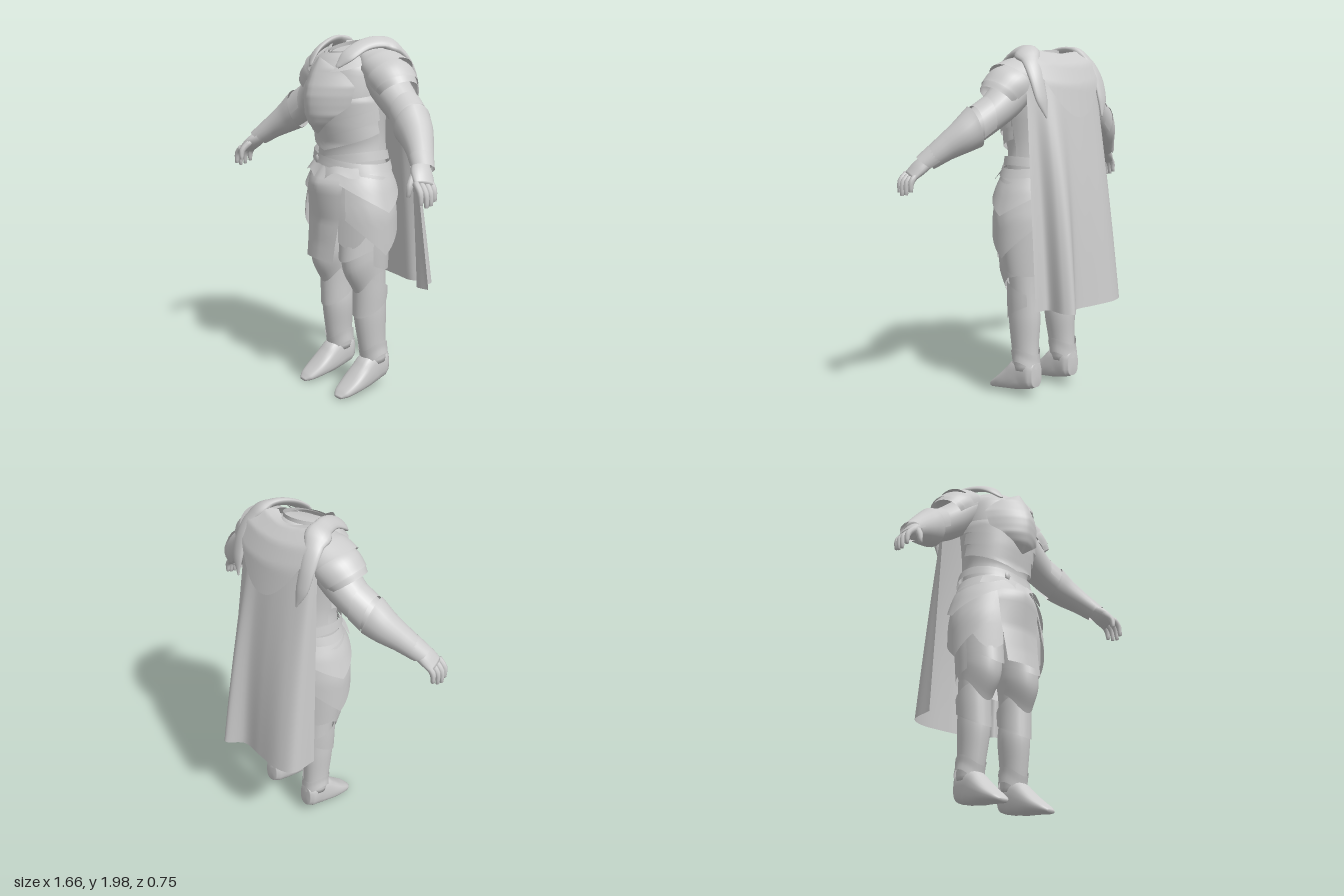
import * as THREE from 'three';
import { mergeVertices } from 'three/addons/utils/BufferGeometryUtils.js';

const steel = new THREE.MeshStandardMaterial({ color: 0xcccccc, side: THREE.DoubleSide });
steel.name = 'plain steel';
const V = (x, y, z) => new THREE.Vector3(x, y, z);

// Smooth surface from a rule fn(u, v), u and v in 0..1
function grid(nu, nv, fn) {
  const pos = [], idx = [];
  for (let j = 0; j <= nv; j++) for (let i = 0; i <= nu; i++) pos.push(...fn(i / nu, j / nv));
  for (let j = 0; j < nv; j++) for (let i = 0; i < nu; i++) {
    const a = j * (nu + 1) + i, b = a + nu + 1;
    idx.push(a, a + 1, b + 1, a, b + 1, b);
  }
  let g = new THREE.BufferGeometry();
  g.setAttribute('position', new THREE.Float32BufferAttribute(pos, 3));
  g.setIndex(idx);
  g = mergeVertices(g, 1e-5);
  g.computeVertexNormals();
  return g;
}

// Linear lookup in rows [key, a, b, ...] with rising keys
function look(rows, k) {
  let i = 0;
  while (i < rows.length - 2 && k > rows[i + 1][0]) i++;
  const t = THREE.MathUtils.clamp((k - rows[i][0]) / (rows[i + 1][0] - rows[i][0]), 0, 1);
  return rows[i].slice(1).map((a, n) => a + (rows[i + 1][n + 1] - a) * t);
}

// Limb through stations [x, y, z, radiusA, radiusB]; an arc leaves it an open shell,
// a power under 1 squares off the cross-section
function limb(stations, { ref = V(0, 0, 1), arc = null, cap = !arc, nu = 20, nv = 5 * stations.length, edge = () => 0, power = 1 } = {}) {
  const path = new THREE.CatmullRomCurve3(stations.map(s => V(s[0], s[1], s[2])));
  const size = new THREE.CatmullRomCurve3(stations.map(s => V(s[3], s[4], 0)));
  const [a0, a1] = arc || [0, Math.PI * 2];
  const bend = c => Math.sign(c) * Math.abs(c) ** power;
  return grid(nu, nv, (u, v) => {
    const a = a0 + (a1 - a0) * (arc || u < 1 ? u : 0);
    const k = cap ? THREE.MathUtils.clamp((v * nv - 1) / (nv - 2), 0, 1) : v;
    const end = cap && (v === 0 || v === 1);
    const p = path.getPoint(k), r = end ? V(0, 0, 0) : size.getPoint(k);
    const t = path.getTangent(k), n = ref.clone().cross(t).normalize(), b = t.clone().cross(n);
    p.addScaledVector(n, r.x * bend(Math.cos(a))).addScaledVector(b, r.y * bend(Math.sin(a)));
    p.addScaledVector(t, edge(a, k));
    return p.toArray();
  });
}

// Body cross-sections: height, half width, centre z, half depth
const BODY = [[0.7, 0.25, 0.07, 0.16], [0.85, 0.265, 0.08, 0.175], [1.05, 0.275, 0.08, 0.18], [1.2, 0.25, 0.075, 0.18],
  [1.33, 0.21, 0.07, 0.17], [1.42, 0.2, 0.075, 0.165], [1.52, 0.21, 0.09, 0.18], [1.65, 0.23, 0.1, 0.2],
  [1.8, 0.225, 0.08, 0.19], [1.88, 0.17, 0.07, 0.15], [1.92, 0.1, 0.08, 0.1]];

// Plate wrapped on the body; angle 0 is the front, +x is positive
function wrap(a0, a1, top, bottom, off0, off1, nu = 24, nv = 8) {
  return grid(nu, nv, (u, v) => {
    const a = a0 + (a1 - a0) * u, w = u * 2 - 1;
    const y0 = top(w, a), y = y0 + (bottom(w, a) - y0) * v;
    const [rx, cz, rz] = look(BODY, y), o = off0 + (off1 - off0) * v;
    return [(rx + o) * Math.sin(a), y, cz + (rz + o) * Math.cos(a)];
  });
}

// Front panel from rows [height, half width, z at the middle, fall towards the edge]
function panel(rows, nv = 24) {
  const y0 = rows[0][0], y1 = rows[rows.length - 1][0];
  return grid(16, nv, (u, v) => {
    const y = y0 + (y1 - y0) * v, [w, z, fall] = look(rows, y), k = Math.abs(u * 2 - 1);
    return [(u * 2 - 1) * w, y, z - fall * (0.3 * k + 0.7 * k * k)];
  });
}

export function createModel() {
  const model = new THREE.Group();
  model.name = 'armour';
  const add = (name, geometry) => {
    const m = new THREE.Mesh(geometry, steel);
    m.name = name;
    model.add(m);
  };
  const pair = (name, geometry) => {
    add('left' + name, geometry);
    const g = geometry.clone().scale(-1, 1, 1), ix = g.index.array;
    for (let i = 0; i < ix.length; i += 3) [ix[i], ix[i + 1]] = [ix[i + 1], ix[i]];
    g.computeVertexNormals();
    add('right' + name, g);
  };
  const flat = y => () => y;

  // Torso and neck opening
  add('torso', limb(BODY.slice(2).map(([y, rx, cz, rz]) => [0, y, cz, rx - (y < 1.25 ? 0.03 : 0), rz]), { nu: 32 }));
  add('collar', limb([[0, 1.86, 0.09, 0.14, 0.13], [0, 1.91, 0.085, 0.118, 0.118], [0, 1.935, 0.085, 0.115, 0.115]],
    { cap: false, nu: 28, edge: (a, k) => -0.03 * k * Math.sin(a) }));
  add('gorget', wrap(-1.1, 1.1, flat(1.9), w => 1.8 + 0.04 * w * w, 0.02, 0.035));

  // Breastplate and overlapping belly bands
  add('breastplate', panel([[1.475, 0.005, 0.305, 0], [1.53, 0.075, 0.35, 0.04], [1.58, 0.135, 0.366, 0.08], [1.63, 0.185, 0.372, 0.14],
    [1.68, 0.195, 0.372, 0.15], [1.73, 0.2, 0.36, 0.15], [1.79, 0.15, 0.335, 0.1], [1.82, 0.115, 0.32, 0.06], [1.88, 0.005, 0.29, 0]], 40));
  for (let i = 0; i < 3; i++) {
    const y = 1.4 + i * 0.07;
    add('bellyBand' + (i + 1), wrap(-1.7, 1.7, w => y + 0.1 + 0.05 * Math.abs(w), w => y - 0.02 + 0.1 * Math.abs(w), 0.004, 0.02));
  }
  add('backPlate', wrap(1.7, 4.58, flat(1.8), flat(1.38), 0.005, 0.01));

  // Crossed belts with a buckle
  for (const s of [-1, 1]) {
    const y = a => 1.325 - s * 0.035 * Math.sin(a);
    add(s > 0 ? 'frontBelt' : 'rearBelt', wrap(-Math.PI, Math.PI, (w, a) => y(a) + 0.025, (w, a) => y(a) - 0.025, 0.02 + s * 0.004, 0.024 + s * 0.004, 40, 3));
  }
  const buckle = new THREE.SphereGeometry(0.02, 14, 10);
  buckle.scale(1, 1.2, 0.5).translate(-0.07, 1.325, 0.255);
  add('buckle', buckle);

  // Tabard and hip plates
  add('tabard', panel([[0.78, 0.115, 0.32, 0.02], [0.87, 0.12, 0.308, 0.02], [1.0, 0.132, 0.3, 0.03], [1.17, 0.15, 0.325, 0.06],
    [1.21, 0.15, 0.325, 0.07], [1.3, 0.12, 0.265, 0.04]]));
  add('frontFauld', wrap(-0.95, 0.95, flat(1.32), w => 1.25 - 0.04 * Math.cos(w * Math.PI * 2) * (1 - Math.abs(w)), 0.015, 0.05));
  pair('FrontTasset', wrap(0.4, 1.1, flat(1.25), w => 0.86 + 0.06 * w * w + 0.03 * w, 0.01, 0.02, 12));
  pair('SideTasset', wrap(0.6, 2.55, w => 1.25 - 0.04 * w, w => 0.82 + 0.2 * Math.abs(w), 0.022, 0.04));
  pair('HipFauld', wrap(0.5, 2.7, flat(1.31), w => 1.06 + 0.15 * Math.abs(w), 0.012, 0.046));
  pair('RearSkirt', wrap(1.3, 3.12, flat(1.25), w => 0.715 + 0.04 * w * w, 0.0, 0.0));
  pair('RearFauld', wrap(2.2, 3.14, flat(1.3), w => 1.1 + 0.05 * w, 0.012, 0.02));

  // Legs, knee guards, greaves and boots
  pair('Leg', limb([[0.155, 0.16, 0.035, 0.066, 0.075], [0.15, 0.3, 0.05, 0.072, 0.086], [0.145, 0.46, 0.058, 0.083, 0.098],
    [0.15, 0.6, 0.055, 0.076, 0.088], [0.145, 0.72, 0.062, 0.084, 0.095], [0.135, 0.88, 0.075, 0.105, 0.125], [0.125, 1.1, 0.075, 0.112, 0.14]]));
  const point = depth => (a, k) => -depth * (1 - k) * Math.max(0, Math.sin(a)) ** 2;
  pair('KneeGuard', limb([[0.143, 0.7, 0.075, 0.098, 0.105], [0.138, 0.79, 0.088, 0.108, 0.148], [0.135, 0.9, 0.09, 0.112, 0.14]],
    { arc: [-0.4, Math.PI + 0.4], edge: point(0.1) }));
  pair('ThighPlate', limb([[0.135, 0.84, 0.088, 0.114, 0.162], [0.13, 1.0, 0.08, 0.118, 0.15]], { arc: [0, Math.PI], edge: point(0.07) }));
  pair('GreaveTop', limb([[0.146, 0.5, 0.06, 0.088, 0.104], [0.148, 0.58, 0.06, 0.09, 0.104], [0.148, 0.65, 0.06, 0.092, 0.104]],
    { arc: [-0.9, Math.PI + 0.9], edge: (a, k) => 0.05 * k * Math.sin(a) - 0.06 * (1 - k) * Math.sin(a) }));
  pair('AnkleCuff', limb([[0.155, 0.19, 0.035, 0.08, 0.083], [0.153, 0.23, 0.04, 0.076, 0.085], [0.152, 0.27, 0.045, 0.077, 0.09]],
    { cap: false, edge: a => 0.025 * Math.cos(2 * a) }));
  pair('Boot', limb([[0.152, 0.14, -0.047, 0.04, 0.07], [0.153, 0.14, -0.015, 0.06, 0.083], [0.155, 0.13, 0.06, 0.065, 0.092],
    [0.157, 0.095, 0.13, 0.071, 0.072], [0.16, 0.058, 0.21, 0.071, 0.042], [0.163, 0.027, 0.28, 0.053, 0.021], [0.165, 0.012, 0.31, 0.025, 0.009]],
    { ref: V(0, 1, 0), power: 0.75 }));

  // Arms and bracers
  pair('Arm', limb([[0.19, 1.8, 0.035, 0.1, 0.125], [0.31, 1.69, 0.035, 0.1, 0.11], [0.42, 1.605, 0.05, 0.09, 0.095],
    [0.53, 1.525, 0.09, 0.085, 0.086], [0.62, 1.455, 0.145, 0.065, 0.068], [0.7, 1.385, 0.2, 0.042, 0.052]]));
  pair('ElbowGuard', limb([[0.42, 1.605, 0.05, 0.098, 0.1], [0.49, 1.555, 0.07, 0.1, 0.1]], { arc: [-2, 2], edge: a => -0.05 * Math.cos(a) }));
  pair('Bracer', limb([[0.49, 1.555, 0.075, 0.11, 0.1], [0.55, 1.51, 0.1, 0.092, 0.09], [0.63, 1.447, 0.15, 0.069, 0.072],
    [0.705, 1.38, 0.203, 0.052, 0.06]], { cap: false, edge: (a, k) => -0.03 * (1 - k) * Math.cos(a) }));
  pair('WristCuff', limb([[0.67, 1.41, 0.18, 0.06, 0.066], [0.715, 1.37, 0.21, 0.052, 0.06]], { arc: [-1.8, 1.8], edge: (a, k) => 0.02 * k * Math.cos(a) }));

  // Hands
  pair('Palm', limb([[0.69, 1.39, 0.2, 0.035, 0.045], [0.735, 1.345, 0.235, 0.034, 0.06], [0.78, 1.3, 0.258, 0.022, 0.058]]));
  for (let i = 0; i < 4; i++) {
    const z = 0.212 + 0.031 * i, l = [0.85, 1, 1.05, 0.92][i];
    pair('Finger' + (i + 1), limb([[0.765, 1.315, z, 0.017, 0.017], [0.765 + 0.042 * l, 1.315 - 0.045 * l, z + 0.005, 0.016, 0.016],
      [0.765 + 0.05 * l, 1.315 - 0.11 * l, z + 0.006, 0.01, 0.011]], { nu: 8, nv: 8 }));
  }
  pair('Thumb', limb([[0.72, 1.35, 0.27, 0.02, 0.02], [0.738, 1.3, 0.315, 0.018, 0.018], [0.735, 1.245, 0.325, 0.01, 0.01]], { nu: 8, nv: 8 }));

  // Layered shoulder plates, each rounding inward at its lower rim
  const lames = [
    [[0.29, 1.755, 0.04, 0.1, 0.12], [0.32, 1.73, 0.042, 0.113, 0.124], [0.352, 1.7, 0.045, 0.103, 0.112]],
    [[0.23, 1.8, 0.03, 0.1, 0.135], [0.285, 1.76, 0.035, 0.123, 0.138], [0.33, 1.72, 0.04, 0.118, 0.128]],
    [[0.13, 1.89, 0.04, 0.05, 0.09], [0.19, 1.845, 0.03, 0.095, 0.135], [0.265, 1.79, 0.03, 0.125, 0.145]],
  ];
  lames.forEach((s, i) => pair('ShoulderPlate' + (i + 1), limb(s, { arc: [-1.75, 1.75], edge: (a, k) => 0.015 * k * Math.cos(a) })));

  // Broad collar rolls lying over the shoulders, ending in a leaf point at the back
  pair('ShoulderRoll', limb([[0.115, 1.83, 0.262, 0.006, 0.012], [0.145, 1.89, 0.21, 0.014, 0.045], [0.165, 1.945, 0.11, 0.018, 0.046],
    [0.195, 1.955, 0.01, 0.022, 0.052], [0.225, 1.91, -0.075, 0.022, 0.052], [0.242, 1.82, -0.135, 0.02, 0.046],
    [0.24, 1.7, -0.175, 0.016, 0.038], [0.22, 1.6, -0.195, 0.004, 0.004]], { ref: V(-1, 0.55, 0), nu: 16 }));
  pair('NeckGuard', grid(6, 8, (u, v) => [0.09 + 0.06 * u + 0.01 * v, 1.82 + 0.14 * v * (0.6 + 0.4 * u), 0.28 - 0.06 * u - 0.15 * v]));

  // Rounded cowl hanging from the neck over the cape
  const COWL = [[0, 1.93, -0.025], [0.2, 1.945, -0.085], [0.45, 1.88, -0.155], [0.7, 1.77, -0.205], [1, 1.6, -0.235]];
  add('cowl', grid(24, 24, (u, v) => {
    const w = u * 2 - 1, [y, z] = look(COWL, v * (1 - 0.35 * w * w));
    return [w * (0.12 + 0.1 * Math.min(1, v * 2)), y + 0.02 * w * w, z + 0.035 * w * w];
  }));

  // Cape, blended from its top to its folded hem; points are [x, z]
  const curve = pts => new THREE.CatmullRomCurve3(pts.map(([x, z]) => V(x, 0, z)));
  const capeTop = curve([[-0.26, -0.09], [-0.245, -0.12], [-0.17, -0.145], [-0.06, -0.165], [0.06, -0.165], [0.14, -0.155], [0.19, -0.14], [0.24, -0.115], [0.27, -0.09]]);
  const capeHem = curve([[-0.3, -0.13], [-0.285, -0.28], [-0.2, -0.32], [-0.03, -0.31], [0.1, -0.3], [0.19, -0.375], [0.23, -0.33], [0.235, -0.22], [0.33, -0.22]]);
  add('cape', grid(56, 24, (u, v) => {
    const p = capeTop.getPoint(u).lerp(capeHem.getPoint(u), v);
    const out = 0.02 * Math.sin(Math.PI * v) * Math.sin(Math.PI * u);
    return [p.x, 1.82 - 1.25 * v - 0.01 * v * Math.sin(u * Math.PI), p.z - out];
  }));

  return model;
}
